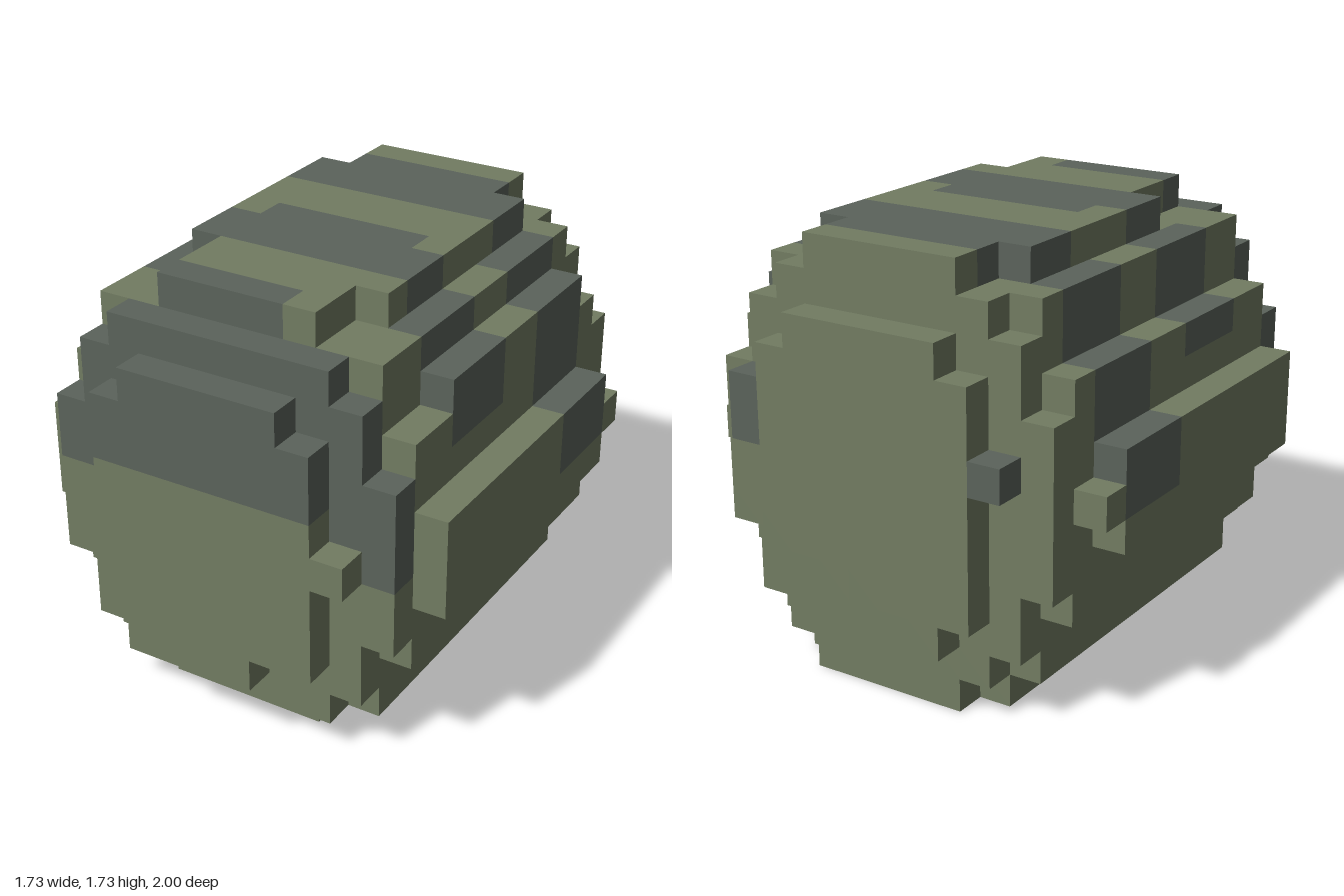
import * as THREE from 'three';

const U = 2 / 15; // edge of one block
const NX = 13, NY = 13, NZ = 15;
const GREEN = 0x727c62, GREY = 0x5b635b;

export function createModel() {
  const cells = new Map();
  const key = (i, j, k) => (i * 20 + j) * 20 + k;

  // Fill an inclusive range of blocks, tagged with a part name
  function fill(part, i0, i1, j0, j1, k0, k1) {
    for (let i = i0; i <= i1; i++)
      for (let j = j0; j <= j1; j++)
        for (let k = k0; k <= k1; k++) cells.set(key(i, j, k), { part, i, j, k });
  }

  // Main barrel, stepped round its cross-section
  fill('body', 2, 10, 1, 11, 2, 12);
  fill('body', 1, 11, 3, 9, 2, 12);
  fill('body', 11, 11, 10, 10, 3, 10);

  // Side panels with a small block at the rear end
  for (const i of [0, 12]) {
    fill('sidePanel', i, i, 5, 7, 3, 12);
    fill('sidePanel', i, i, 6, 6, 2, 2);
  }

  // Top plate
  fill('topPlate', 4, 8, 12, 12, 1, 12);
  fill('topPlate', 3, 3, 12, 12, 3, 9);
  fill('topPlate', 9, 9, 12, 12, 3, 10);

  // Bottom plate, uneven along its edges
  fill('bottomPlate', 4, 8, 0, 0, 1, 12);
  fill('bottomPlate', 9, 9, 0, 0, 2, 6);
  fill('bottomPlate', 3, 3, 0, 0, 2, 11);

  // Rims at both ends of the barrel
  for (const [part, k] of [['rearRim', 1], ['frontRim', 13]]) {
    fill(part, 3, 9, 1, 11, k, k);
    fill(part, 2, 10, 2, 10, k, k);
    fill(part, 1, 11, 4, 8, k, k);
  }

  // Front plate
  fill('frontPlate', 5, 7, 2, 2, 14, 14);
  fill('frontPlate', 4, 9, 3, 3, 14, 14);
  fill('frontPlate', 3, 9, 4, 9, 14, 14);
  fill('frontPlate', 4, 8, 10, 10, 14, 14);
  fill('frontPlate', 10, 10, 6, 6, 14, 14);

  // Rear plate
  fill('rearPlate', 4, 8, 2, 10, 0, 0);
  fill('rearPlate', 3, 9, 3, 9, 0, 0);
  fill('rearPlate', 10, 10, 7, 8, 0, 0);
  fill('rearPlate', 2, 2, 7, 7, 0, 0);

  // Grey face cap and stripes
  function isGrey({ i, j, k }) {
    const centre = i >= 4 && i <= 8, side = i <= 2 || i >= 10;
    if (k === 14) return j >= 8;
    if (k === 13) return j >= 7 || (i === 11 && j === 6);
    if (k === 0) return side;
    if (j === 12) {
      if (k === 3 || k === 4 || k === 8 || k === 9) return true;
      if (k === 2 || k === 7) return centre;
      return k === 12 && i >= 4 && i <= 7;
    }
    if (!side) return false;
    return (k >= 3 && k <= 5 && j >= 6) || (k >= 8 && k <= 10 && j >= 9);
  }

  // Collect only the exposed block faces, per part and colour
  const batches = new Map();
  for (const cell of cells.values()) {
    const color = isGrey(cell) ? GREY : GREEN;
    const id = cell.part + color;
    if (!batches.has(id)) batches.set(id, { part: cell.part, color, pos: [], nor: [] });
    const { pos, nor } = batches.get(id);
    const at = [cell.i, cell.j, cell.k];
    for (let a = 0; a < 3; a++) {
      for (const s of [-1, 1]) {
        const next = at.slice();
        next[a] += s;
        if (cells.has(key(...next)) && next[a] >= 0) continue;
        const b = (a + 1) % 3, c = (a + 2) % 3;
        const corners = [[0, 0], [1, 0], [1, 1], [0, 1]].map(([u, v]) => {
          const p = at.slice();
          p[a] += s > 0 ? 1 : 0;
          p[b] += u;
          p[c] += v;
          return [(p[0] - NX / 2) * U, p[1] * U, (p[2] - NZ / 2) * U];
        });
        const order = s > 0 ? [0, 1, 2, 0, 2, 3] : [0, 2, 1, 0, 3, 2];
        const n = [0, 0, 0];
        n[a] = s;
        for (const o of order) {
          pos.push(...corners[o]);
          nor.push(...n);
        }
      }
    }
  }

  const group = new THREE.Group();
  group.name = 'blockBarrel';
  for (const { part, color, pos, nor } of batches.values()) {
    const geometry = new THREE.BufferGeometry();
    geometry.setAttribute('position', new THREE.Float32BufferAttribute(pos, 3));
    geometry.setAttribute('normal', new THREE.Float32BufferAttribute(nor, 3));
    const mesh = new THREE.Mesh(geometry, new THREE.MeshStandardMaterial({ color }));
    mesh.name = color === GREY ? part + 'Stripe' : part;
    group.add(mesh);
  }
  return group;
}
